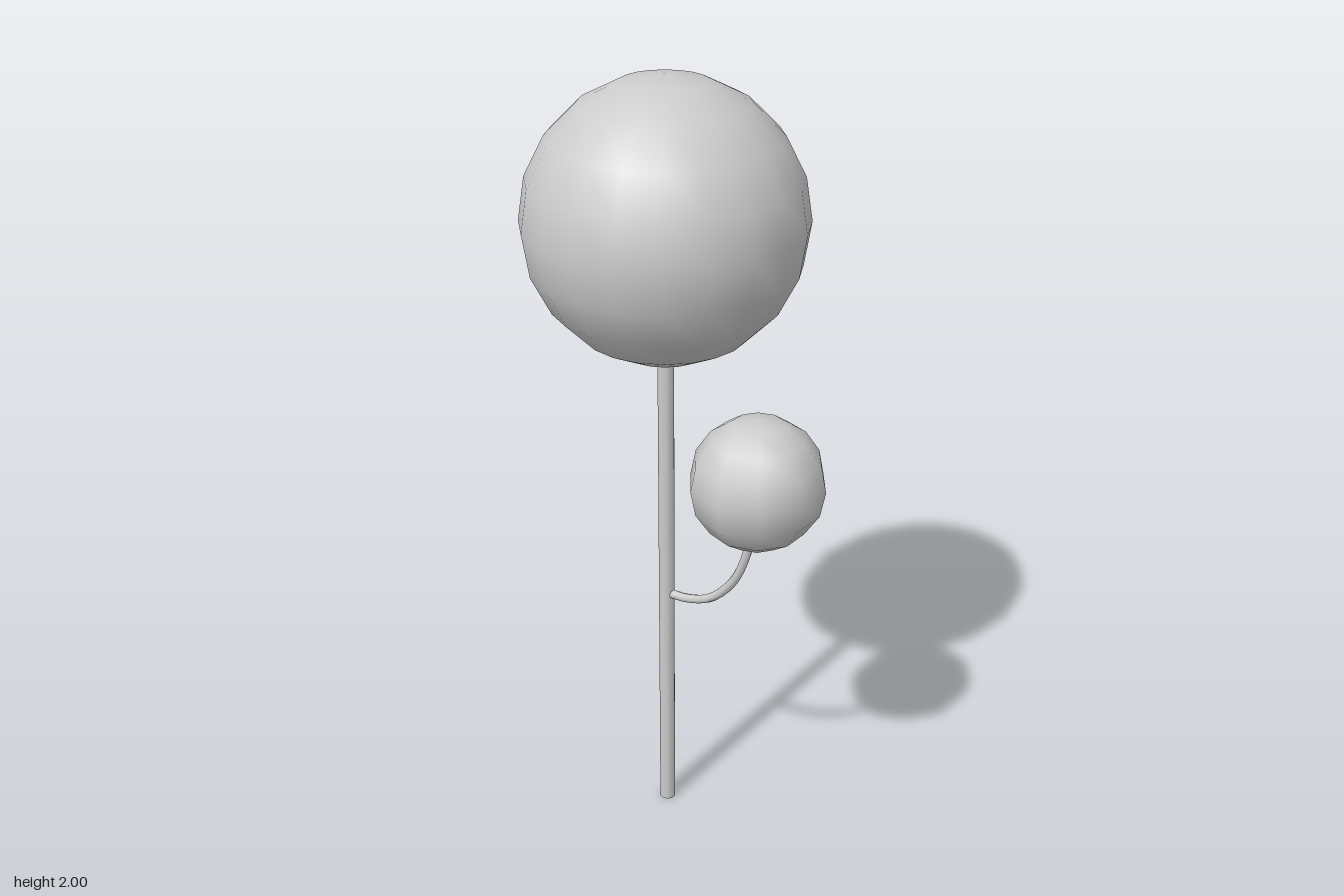
import * as THREE from 'three';

const material = new THREE.MeshStandardMaterial({ color: 0xcccccc });

function addPart(group, name, geometry, x = 0, y = 0) {
  const mesh = new THREE.Mesh(geometry, material);
  mesh.name = name;
  mesh.position.set(x, y, 0);
  group.add(mesh);
  return mesh;
}

export function createModel() {
  const group = new THREE.Group();
  group.name = 'roundTree';
  const trunkX = -0.048;

  // Straight trunk, ending inside the large crown
  const trunkHeight = 1.4;
  addPart(group, 'trunk', new THREE.CylinderGeometry(0.021, 0.021, trunkHeight, 10), trunkX, trunkHeight / 2);

  // Large crown
  addPart(group, 'largeCrown', new THREE.SphereGeometry(0.342, 20, 10), trunkX, 1.658);

  // Side branch sweeping out of the trunk and up
  const path = new THREE.CatmullRomCurve3([
    [trunkX, 0.652], [0.02, 0.658], [0.09, 0.685],
    [0.158, 0.755], [0.195, 0.835], [0.216, 0.93],
  ].map(([x, y]) => new THREE.Vector3(x, y, 0)));
  addPart(group, 'branch', new THREE.TubeGeometry(path, 16, 0.0115, 8));

  // Small crown on the branch, with a vertex row facing the front
  const smallCrown = new THREE.SphereGeometry(0.169, 10, 8).rotateY(Math.PI / 2);
  addPart(group, 'smallCrown', smallCrown, 0.227, 1.057);

  return group;
}
